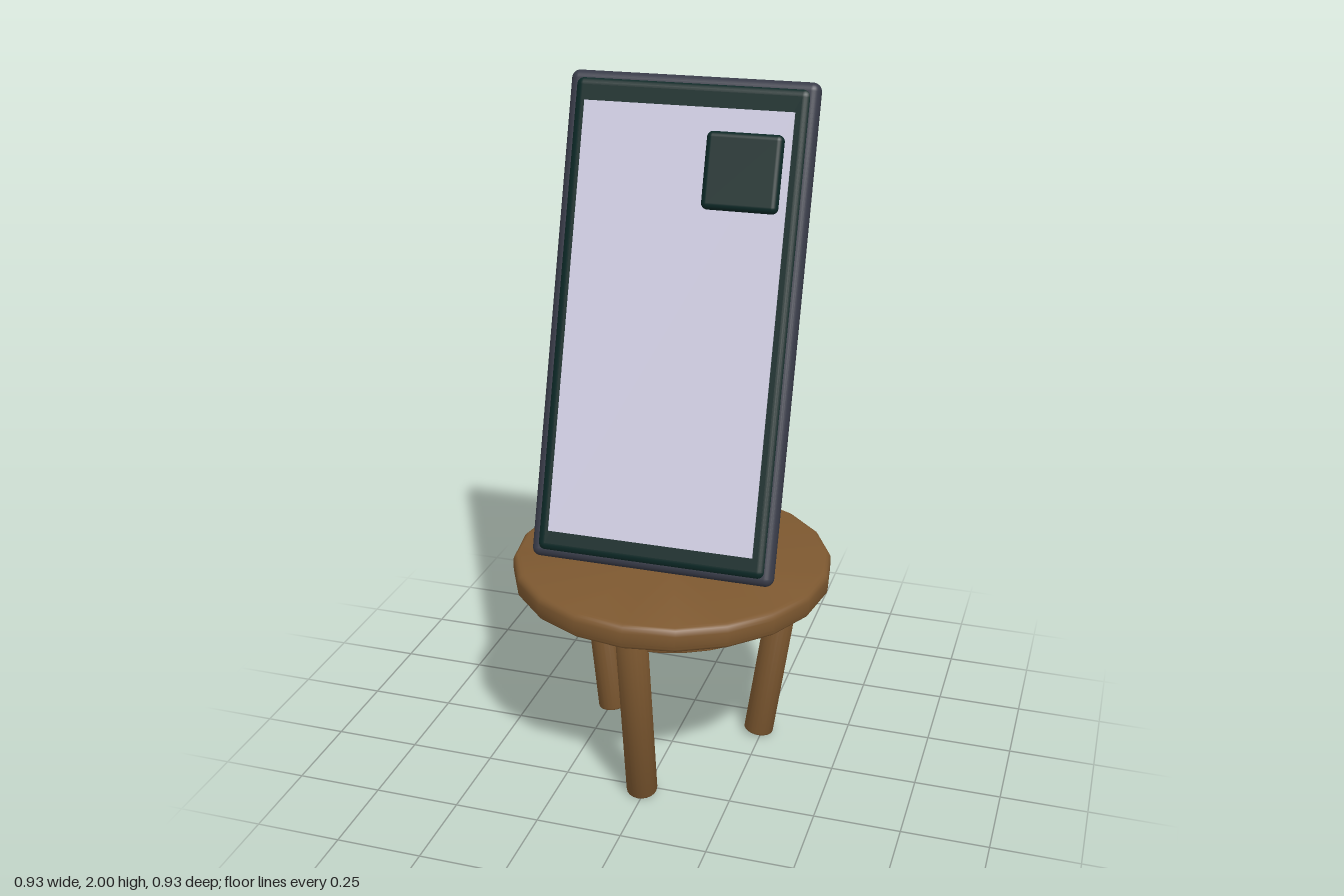
import * as THREE from 'three';
import { toCreasedNormals } from 'three/addons/utils/BufferGeometryUtils.js';
import { RoundedBoxGeometry } from 'three/addons/geometries/RoundedBoxGeometry.js';

const material = (name, color) => {
  const m = new THREE.MeshStandardMaterial({ color });
  m.name = name;
  return m;
};

// Solid disc or rod along y with rounded rims, from y0 to y1
function roundedDisc(radius, y0, y1, bevel, sides) {
  const pts = [new THREE.Vector2(0, y0)];
  for (const [cy, start] of [[y0 + bevel, -Math.PI / 2], [y1 - bevel, 0]]) {
    for (let i = 0; i <= 4; i++) {
      const a = start + (i / 4) * (Math.PI / 2);
      pts.push(new THREE.Vector2(radius - bevel + bevel * Math.cos(a), cy + bevel * Math.sin(a)));
    }
  }
  pts.push(new THREE.Vector2(0, y1));
  return toCreasedNormals(new THREE.LatheGeometry(pts, sides), 0.6);
}

export function createModel() {
  const wood = material('brown wood', 0x7d5830);
  const frameGrey = material('slate frame', 0x383b48);
  const green = material('dark green', 0x0c2826);
  const silver = material('pale silver', 0xcfcde2);
  const white = material('light grey', 0xd6d6d6);

  const model = new THREE.Group();
  const add = (parent, name, geometry, mat, x = 0, y = 0, z = 0) => {
    const mesh = new THREE.Mesh(geometry, mat);
    mesh.name = name;
    mesh.position.set(x, y, z);
    parent.add(mesh);
    return mesh;
  };

  // Stool: seat, support disc and three splayed legs
  const stool = new THREE.Group();
  stool.name = 'stool';
  model.add(stool);
  add(stool, 'seat', roundedDisc(0.465, 0.577, 0.652, 0.022, 20), wood);
  add(stool, 'supportDisc', roundedDisc(0.36, 0.52, 0.565, 0.003, 32), wood);
  const up = new THREE.Vector3(0, 1, 0);
  for (let i = 0; i < 3; i++) {
    const a = (i * Math.PI * 2) / 3;
    const at = (r, y) => new THREE.Vector3(Math.sin(a) * r - (i === 0 ? 0.008 : 0), y, Math.cos(a) * r);
    const foot = at(0.275, 0.007);
    const head = at(0.362, 0.585);
    const leg = add(stool, 'leg', roundedDisc(0.045, 0, foot.distanceTo(head), 0.008, 20), wood);
    leg.position.copy(foot);
    leg.quaternion.setFromUnitVectors(up, head.sub(foot).normalize());
  }

  // Leaning slab with its front panel and raised square
  const slab = new THREE.Group();
  slab.name = 'slab';
  slab.position.set(0, 1.345, -0.005);
  slab.rotation.x = -0.314;
  model.add(slab);
  add(slab, 'frame', new RoundedBoxGeometry(0.706, 1.37, 0.054, 4, 0.024), frameGrey);
  add(slab, 'core', new RoundedBoxGeometry(0.67, 1.335, 0.064, 4, 0.025), green, 0, 0, 0.004);
  add(slab, 'frontPanel', new THREE.BoxGeometry(0.594, 1.203, 0.004), silver, 0, -0.003, 0.047);
  add(slab, 'raisedSquare', new RoundedBoxGeometry(0.213, 0.21, 0.036, 4, 0.017), green, 0.173, 0.43, 0.063);

  // Small block behind the slab, with a curved handle and a stub
  const block = new THREE.Group();
  block.name = 'block';
  model.add(block);
  add(block, 'blockBody', new RoundedBoxGeometry(0.225, 0.138, 0.165, 4, 0.024), white, 0, 0.728, -0.16);
  const tube = (name, pts) => {
    const curve = new THREE.CatmullRomCurve3(pts.map((p) => new THREE.Vector3(...p)));
    add(block, name, new THREE.TubeGeometry(curve, 20, 0.014, 10), white);
  };
  tube('handle', [[-0.005, 0.735, -0.225], [0.035, 0.731, -0.257], [0.052, 0.715, -0.266],
    [0.035, 0.703, -0.256], [0, 0.7, -0.225]]);
  const stub = add(block, 'stub', new THREE.SphereGeometry(0.016, 12, 8), white, -0.04, 0.733, -0.08);
  stub.scale.x = 1.6;

  return model;
}
